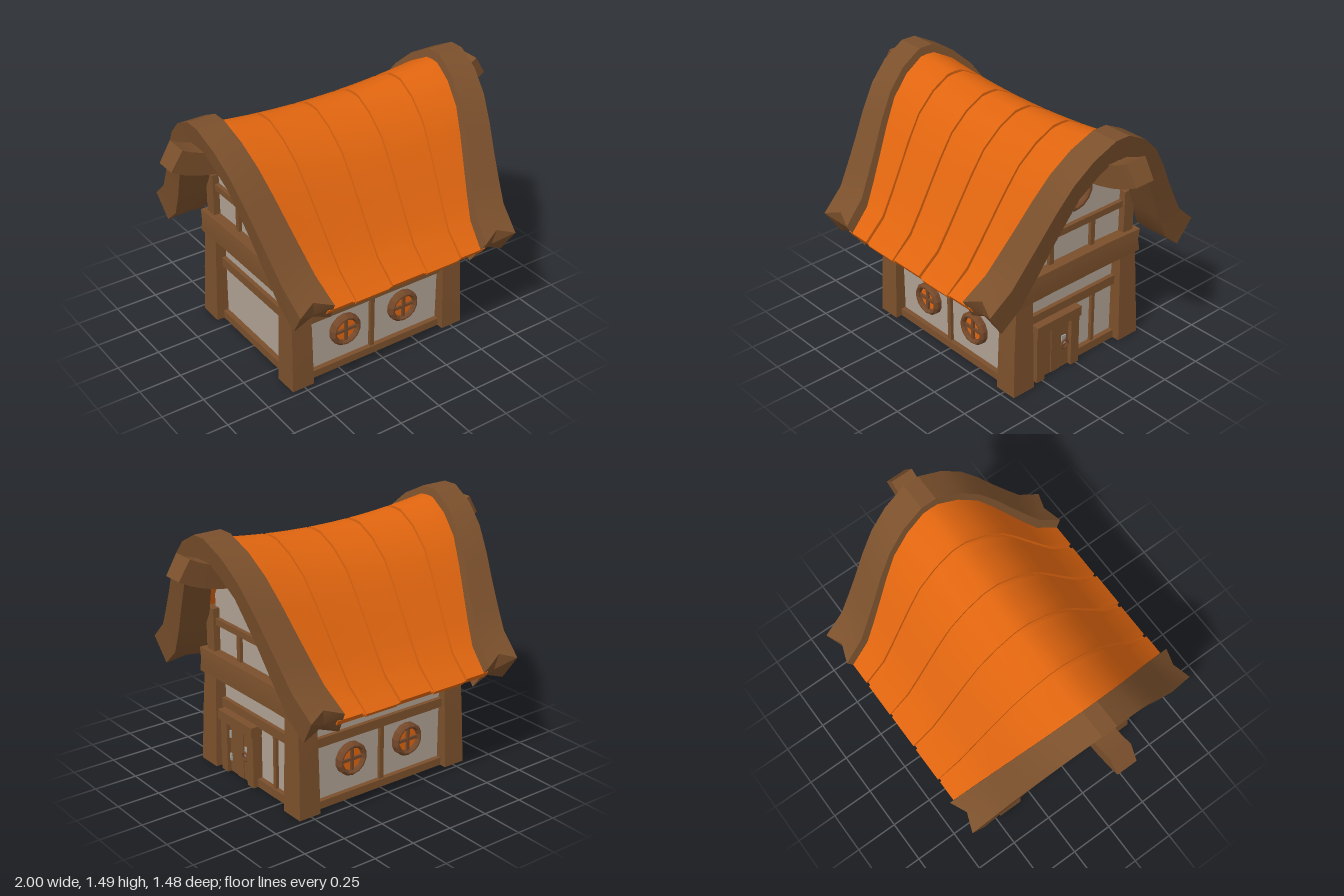
import * as THREE from 'three';
import { toCreasedNormals } from 'three/addons/utils/BufferGeometryUtils.js';

const mat = (name, color) => {
  const m = new THREE.MeshStandardMaterial({ color, side: THREE.DoubleSide });
  m.name = name;
  return m;
};

// Half outlines of the gable boards as [z, y], from ridge to eave
const OUTER = [[0, 1.49], [.045, 1.49], [.18, 1.42], [.29, 1.317], [.38, 1.187], [.46, 1.05], [.54, .92], [.61, .81], [.74, .695]];
const INNER = [[0, 1.36], [.05, 1.35], [.12, 1.31], [.23, 1.215], [.30, 1.09], [.36, .98], [.44, .82], [.53, .66], [.65, .555]];
const mix = (a, b, t) => a + (b - a) * t;
const halfLayer = t => OUTER.map((p, i) => [mix(p[0], INNER[i][0], t), mix(p[1], INNER[i][1], t)]);
const layer = t => {
  const h = halfLayer(t);
  return [...h.slice(1).reverse().map(([z, y]) => [-z, y]), ...h];
};
const innerX = y => .48 + .238 * (y - .65);
const outerX = y => .68 + .16 * Math.pow(Math.max(0, (y - .555) / .935), 1.2);

// Closed solid through a row of equal-length loops of [x, y, z]
function loft(sections, crease = .6) {
  const n = sections[0].length, pos = [];
  const tri = (a, b, c) => pos.push(...a, ...b, ...c);
  for (let s = 0; s < sections.length - 1; s++) {
    const A = sections[s], B = sections[s + 1];
    for (let i = 0; i < n; i++) {
      const j = (i + 1) % n;
      tri(A[i], B[i], B[j]);
      tri(A[i], B[j], A[j]);
    }
  }
  const cap = (L, flip) => {
    const c = [0, 1, 2].map(k => L.reduce((sum, p) => sum + p[k], 0) / n);
    L.forEach((p, i) => {
      const q = L[(i + 1) % n];
      flip ? tri(c, q, p) : tri(c, p, q);
    });
  };
  cap(sections[0], false);
  cap(sections[sections.length - 1], true);
  // Turn the faces outward
  let volume = 0;
  const v = [0, 1, 2].map(() => new THREE.Vector3());
  for (let i = 0; i < pos.length; i += 9) {
    v.forEach((p, k) => p.fromArray(pos, i + k * 3));
    volume += v[0].dot(v[1].cross(v[2]));
  }
  if (volume < 0) for (let i = 0; i < pos.length; i += 9) {
    for (let k = 0; k < 3; k++) [pos[i + 3 + k], pos[i + 6 + k]] = [pos[i + 6 + k], pos[i + 3 + k]];
  }
  const g = new THREE.BufferGeometry();
  g.setAttribute('position', new THREE.Float32BufferAttribute(pos, 3));
  return toCreasedNormals(g, crease);
}

export function createModel() {
  const wood = mat('wood', 0x7b502c), trim = mat('window wood', 0x74482a), plaster = mat('plaster', 0xb0a193);
  const tile = mat('orange roof', 0xe0650f), glass = mat('blue glass', 0x5c86ad), metal = mat('grey metal', 0xa5a29c);
  const house = new THREE.Group();
  house.name = 'house';
  const add = (name, geo, m, parent = house) => {
    const mesh = new THREE.Mesh(geo, m);
    mesh.name = name;
    parent.add(mesh);
    return mesh;
  };
  const box = (name, m, x0, x1, y0, y1, z0, z1, parent) => add(name,
    new THREE.BoxGeometry(Math.abs(x1 - x0), y1 - y0, Math.abs(z1 - z0))
      .translate((x0 + x1) / 2, (y0 + y1) / 2, (z0 + z1) / 2), m, parent);

  // Round window facing +z with a bevelled frame and a cross
  function roundWindow(name, r, ri, paneMat) {
    const g = new THREE.Group();
    g.name = name;
    const profile = [[ri, -.02], [ri, .022], [ri + .01, .032], [r - .012, .032], [r, .018], [r, -.02]]
      .map(p => new THREE.Vector2(...p));
    const ring = toCreasedNormals(new THREE.LatheGeometry(profile, 14).rotateX(Math.PI / 2), .3);
    add('windowFrame', ring, trim, g);
    add('windowPane', new THREE.CircleGeometry(ri + .005, 20).translate(0, 0, .006), paneMat, g);
    const b = r * .09;
    box('windowBar', trim, -b, b, -ri, ri, 0, .02, g);
    box('windowBar', trim, -ri, ri, -b, b, 0, .019, g);
    house.add(g);
    return g;
  }

  // Gable walls
  const top = halfLayer(.6).filter(p => p[0] < .4);
  const outline = [[-.4, 0], [.4, 0], [.4, 1], ...top.slice(1).reverse(), ...top.map(([z, y]) => [-z, y]), [-.4, 1]];
  for (const s of [1, -1]) {
    const g = new THREE.ExtrudeGeometry(new THREE.Shape(outline.map(p => new THREE.Vector2(...p))), { depth: .03, bevelEnabled: false });
    add('gableWall', g.translate(0, 0, -.015).rotateY(-Math.PI / 2).translate(s * .485, 0, 0), plaster);
  }

  // Long walls with sill, rail, stud and two windows
  for (const s of [1, -1]) {
    box('longWall', plaster, -.48, .48, 0, .98, s * .375, s * .4);
    box('longSill', wood, -.45, .45, 0, .045, s * .35, s * .43);
    box('longRail', wood, -.45, .45, .36, .412, s * .36, s * .425);
    box('longStud', wood, -.03, -.004, .045, .36, s * .365, s * .42);
    for (const x of [-.198, .192]) {
      const w = roundWindow('longWallWindow', .096, .066, tile);
      w.position.set(x, .23, s * .41);
      if (s < 0) w.rotation.y = Math.PI;
    }
  }

  // Timber on both gables
  for (const s of [1, -1]) {
    box('gableSill', wood, s * .45, s * .53, 0, .05, -.36, .36);
    box('gableRail', wood, s * .46, s * .525, .36, .415, -.36, .36);
    box('upperRail', wood, s * .46, s * .525, .835, .873, -.38, .38);
    for (const z of [.155, -.146]) box('upperStud', wood, s * .465, s * .52, .66, .84, z - .015, z + .015);
    for (const q of [1, -1]) {
      box('upperPost', wood, s * .45, s * .54, .66, .93, q * .363, q * .435);
      // Flared corner post
      const post = (y, x, z) => [[s * .44, y, q * .32], [s * x, y, q * .325], [s * x, y, q * z], [s * .44, y, q * z]];
      add('cornerPost', loft([post(0, .575, .47), post(.3, .567, .457), post(.56, .56, .44)], .1), wood);
    }
    // Heavy cross beam with split ends
    const beam = (z, y0, y1) => [[s * .43, y0, z], [s * .568, y0, z], [s * .572, (y0 + y1) / 2 + .01, z * (Math.abs(z) > .45 ? .96 : 1)],
      [s * .565, y1, z], [s * .43, y1, z]];
    add('crossBeam', loft([beam(-.468, .54, .675), beam(-.2, .545, .683), beam(.2, .545, .683), beam(.473, .54, .68)], .2), wood);

    const w = roundWindow('gableWindow', .122, .086, glass);
    w.position.set(s * .51, 1.07, 0);
    w.rotation.y = s * Math.PI / 2;

    // Upturned ridge beam
    const curve = new THREE.QuadraticBezierCurve(new THREE.Vector2(.42, 1.25), new THREE.Vector2(.8, 1.25), new THREE.Vector2(.967, 1.355));
    const rows = [];
    for (let i = 0; i <= 6; i++) {
      const p = curve.getPoint(i / 6), t = curve.getTangent(i / 6);
      const at = (h, z) => [s * (p.x - t.y * h), p.y + t.x * h, z];
      rows.push([at(.063, -.065), at(.063, .065), at(-.063, .06), at(-.063, -.06)]);
    }
    add('ridgeBeam', loft(rows), wood);

    // Curved gable board with notched ends
    const O = layer(0), I = layer(1);
    const board = O.map(([z, y], k) => {
      const [zi, yi] = I[k];
      const end = k === 0 ? 1 : k === O.length - 1 ? k - 1 : -1;
      const mid = (L, xa) => {
        const p = L[k], q = end < 0 ? p : L[end];
        return [s * xa, mix(p[1], q[1], .3), mix(p[0], q[0], .3)];
      };
      return [[s * innerX(y), y, z], mid(O, (innerX(y) + outerX(y)) / 2), [s * outerX(y), y, z],
        [s * outerX(yi), yi, zi], mid(I, (innerX(yi) + outerX(yi)) / 2), [s * innerX(yi), yi, zi]];
    });
    add('gableBoard', loft(board, .45), wood);
  }

  // Sagging roof: five curved panels over a thin under-layer
  const sag = (x, y) => y - .05 * Math.max(0, 1 - (x / .66) ** 2) * Math.max(0, (y - .62) / .83);
  function roofStrip(name, left, right, t0, t1, drop) {
    const A = layer(t0), B = layer(t1), N = 5;
    add(name, loft(A.map((a, k) => {
      const row = ([z, y]) => Array.from({ length: N + 1 }, (_, i) => {
        const x = mix(left(a[1]), right(a[1]), i / N);
        const atEave = k === 0 || k === A.length - 1;
        return [x, sag(x, y) - (atEave ? drop : 0), z];
      });
      return [...row(a), ...row(B[k]).reverse()];
    }), .7), tile);
  }
  const edge = y => innerX(y) + .03;
  const seam = (bottom, ridge) => y => mix(bottom, ridge, (y - .65) / .8);
  const lines = [y => -edge(y), seam(-.345, -.425), seam(-.115, -.138), seam(.112, .128), seam(.338, .41), edge];
  for (let i = 0; i < 5; i++) {
    const l = lines[i], r = lines[i + 1], gap = .011;
    roofStrip('roofPanel', y => l(y) + (i ? gap : 0), y => r(y) - (i < 4 ? gap : 0), .32, .48, i % 2 ? .012 : 0);
  }
  roofStrip('roofUnderlayer', y => -edge(y), edge, .44, .56, 0);

  // Stud and plank door on the left gable
  box('gableStud', wood, .465, .52, .05, .36, -.178, -.155);
  const door = new THREE.Group();
  door.name = 'door';
  house.add(door);
  box('doorJamb', wood, .48, .56, 0, .31, .232, .29, door);
  box('doorJamb', wood, .48, .56, 0, .31, -.022, .036, door);
  box('doorLintel', wood, .48, .572, .308, .366, -.026, .297, door);
  [[.168, .232], [.104, .165], [.036, .101]].forEach(([a, b], i) =>
    box('doorPlank', wood, .48, .535 + (i % 2) * .004, 0, .308, a, b, door));
  for (const y of [.09, .23]) box('doorHinge', metal, .53, .543, y - .022, y + .022, .218, .232, door);
  box('handlePlate', metal, .53, .542, .15, .205, .06, .088, door);
  add('handleRing', new THREE.TorusGeometry(.025, .006, 6, 14).rotateY(Math.PI / 2).translate(.548, .152, .074), trim, door);

  return house;
}
